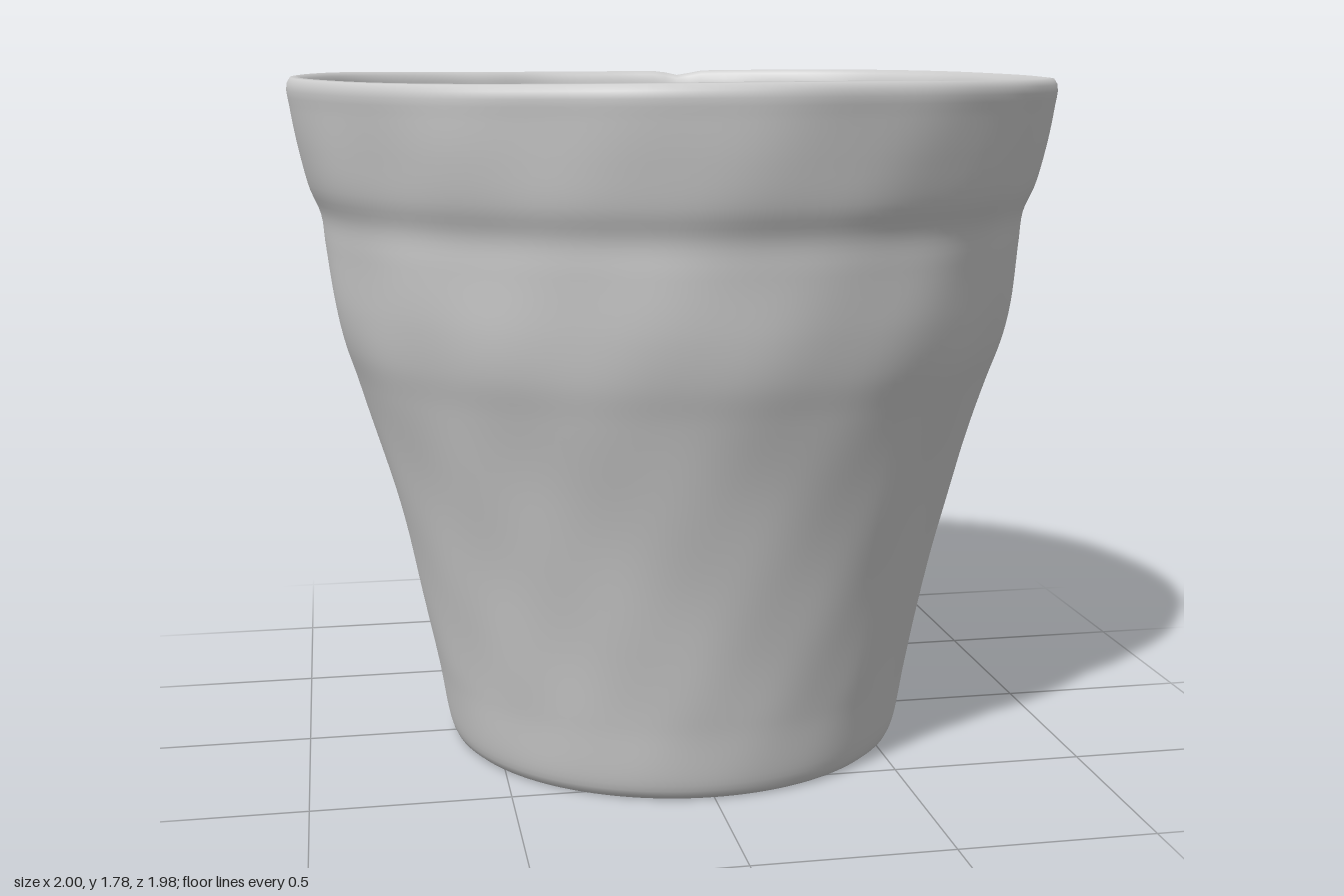
import * as THREE from 'three';
import { mergeVertices } from 'three/addons/utils/BufferGeometryUtils.js';

const material = new THREE.MeshStandardMaterial({ color: 0xcccccc });
const HOLE = { x: -0.02, y: 0.43, rx: 0.03, ry: 0.055 };

// Closed wall section: underside, outer wall, rim, inner wall, floor
const section = [
  [0, 0.025], [0.3, 0.025], [0.54, 0.022], [0.57, 0.004], [0.595, 0.002], [0.612, 0.025],
  [0.645, 0.2], [0.684, 0.4], [0.728, 0.6], [0.78, 0.8], [0.84, 1.0], [0.872, 1.1], [0.892, 1.2],
  [0.908, 1.35], [0.917, 1.43], [0.945, 1.5], [0.968, 1.6], [0.985, 1.7], [0.992, 1.755],
  [0.983, 1.774], [0.965, 1.776], [0.95, 1.76],
  [0.938, 1.68], [0.92, 1.58], [0.895, 1.48], [0.868, 1.38], [0.85, 1.2], [0.828, 1.1],
  [0.795, 1.0], [0.735, 0.8], [0.683, 0.6], [0.64, 0.4], [0.602, 0.2], [0.582, 0.095],
  [0.555, 0.066], [0.5, 0.062], [0.3, 0.062], [0.08, 0.066], [0.06, 0.06], [0.04, 0.034], [0, 0.03],
];

// Hand-made unevenness: a wavy rim, a slack back edge and faint lumps on the wall
function deform(p) {
  const r = Math.hypot(p.x, p.z);
  if (r < 0.2) return;
  const a = Math.atan2(p.x, p.z);
  const t = p.y / 1.78;
  const wave = 0.005 * Math.cos(2 * a - Math.PI) + 0.004 * Math.sin(5 * a + 0.6) + 0.004 * Math.sin(9 * a + 2);
  const lumps = 0.0025 * Math.sin(7 * a + 5 * p.y) * Math.sin(9 * p.y + 3 * a) + 0.0015 * Math.sin(17 * a - 11 * p.y);
  const slack = (c, w) => Math.exp(-(((Math.abs(a - c)) / w) ** 2));
  const dents = -0.018 * slack(2.65, 0.16) - 0.016 * slack(-2.72, 0.12);
  const k = 1 + wave * t + lumps * Math.min(1, p.y * 4) + dents * t * t * t;
  p.x *= k;
  p.z *= k;
  // Uneven rim height with a small nick at the back
  const top = Math.max(0, (p.y - 1.5) / 0.28);
  p.y += top * (0.004 * Math.sin(3 * a + 1) - 0.014 * slack(2.94, 0.045));
}

function makeWall() {
  const curve = new THREE.CatmullRomCurve3(
    section.map(([r, y]) => new THREE.Vector3(r, y, 0)), false, 'centripetal');
  curve.arcLengthDivisions = 1200;
  const profile = curve.getSpacedPoints(280).map((p) => new THREE.Vector2(Math.max(0, p.x), p.y));
  let geo = new THREE.LatheGeometry(profile, 160);
  geo.deleteAttribute('uv');
  geo.deleteAttribute('normal');
  geo = mergeVertices(geo, 1e-4);

  const pos = geo.attributes.position;
  const p = new THREE.Vector3();
  const inside = [];
  for (let i = 0; i < pos.count; i++) {
    p.fromBufferAttribute(pos, i);
    deform(p);
    // Push points inside the side hole out to its edge
    const u = (p.x - HOLE.x) / HOLE.rx, v = (p.y - HOLE.y) / HOLE.ry;
    const q = Math.hypot(u, v);
    inside[i] = p.z < -0.4 && q < 1;
    if (inside[i]) {
      const s = 1 / Math.max(q, 0.05);
      p.x = HOLE.x + u * s * HOLE.rx;
      p.y = HOLE.y + v * s * HOLE.ry;
    }
    pos.setXYZ(i, p.x, p.y, p.z);
  }
  // Leave out the faces that cover the hole
  const kept = [];
  const index = geo.index.array;
  for (let i = 0; i < index.length; i += 3) {
    const [a, b, c] = [index[i], index[i + 1], index[i + 2]];
    if (a === b || b === c || c === a) continue;
    if (!(inside[a] && inside[b] && inside[c])) kept.push(a, b, c);
  }
  geo.setIndex(kept);
  geo.computeVertexNormals();
  return geo;
}

// Short tunnel joining the two faces of the wall around the side hole
function makeHoleLining() {
  const geo = new THREE.CylinderGeometry(1, 1, 1, 24, 1, true);
  geo.rotateX(Math.PI / 2);
  const pos = geo.attributes.position;
  for (let i = 0; i < pos.count; i++) {
    const y = HOLE.y + pos.getY(i) * HOLE.ry;
    const outer = 0.684 + (y - 0.4) * 0.215;
    const z = pos.getZ(i) < 0 ? -outer + 0.004 : -outer + 0.04;
    pos.setXYZ(i, HOLE.x + pos.getX(i) * HOLE.rx, y, z);
  }
  geo.computeVertexNormals();
  return geo;
}

export function createModel() {
  const group = new THREE.Group();
  group.name = 'flowerPot';

  const wall = new THREE.Mesh(makeWall(), material);
  wall.name = 'potBody';
  group.add(wall);

  const liningMaterial = material.clone();
  liningMaterial.side = THREE.DoubleSide;
  const lining = new THREE.Mesh(makeHoleLining(), liningMaterial);
  lining.name = 'sideHoleLining';
  group.add(lining);

  return group;
}
